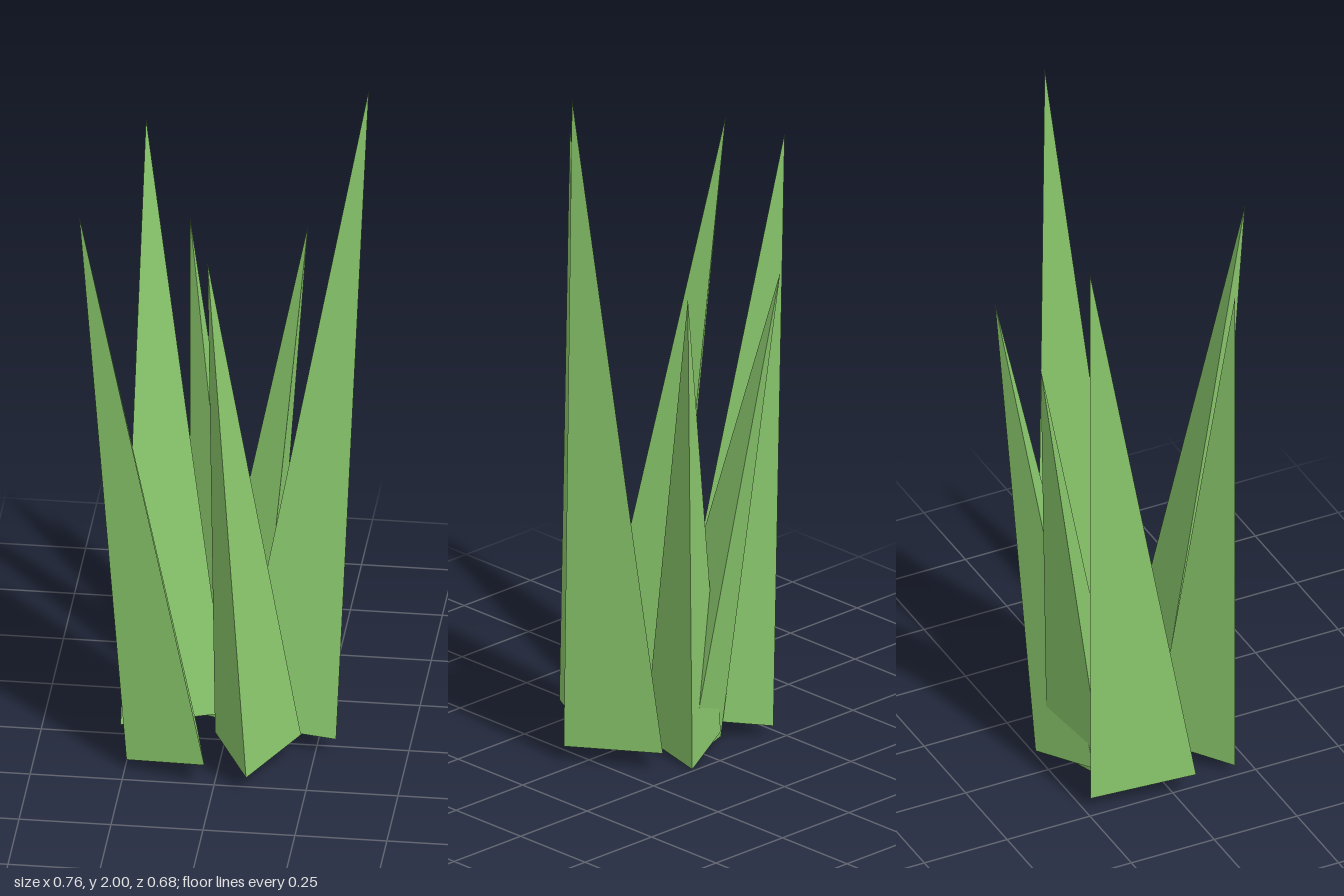
import * as THREE from 'three';

const UP = new THREE.Vector3(0, 1, 0);

// Three-sided spike: base centre, tip, base radius and turn (degrees) about its own axis
const BLADES = [
  { name: 'frontLeftBlade', base: [0.096, 0.062, 0.145], tip: [-0.007, 1.67, 0.34], radius: 0.136, turn: 117.5 },
  { name: 'leftBlade', base: [0.168, 0.059, -0.041], tip: [0.382, 2.0, -0.07], radius: 0.161, turn: 59.8 },
  { name: 'backLeftBlade', base: [0.027, 0.02, -0.146], tip: [0.187, 1.43, -0.318], radius: 0.119, turn: 24 },
  { name: 'backBlade', base: [0.006, 0.02, -0.122], tip: [-0.137, 1.42, -0.342], radius: 0.119, turn: 21.3 },
  { name: 'backRightBlade', base: [-0.164, 0.052, -0.071], tip: [-0.245, 1.77, -0.248], radius: 0.171, turn: 78.4 },
  { name: 'frontRightBlade', base: [-0.114, 0.05, 0.162], tip: [-0.382, 1.665, 0.122], radius: 0.136, turn: 41.8 },
];

function makeBlade({ name, base, tip, radius, turn }, material) {
  const foot = new THREE.Vector3(...base);
  const axis = new THREE.Vector3(...tip).sub(foot);
  const height = axis.length();
  const geometry = new THREE.ConeGeometry(radius, height, 3);
  geometry.translate(0, height / 2, 0); // pivot at the base
  geometry.rotateY(THREE.MathUtils.degToRad(turn));
  const blade = new THREE.Mesh(geometry, material);
  blade.name = name;
  blade.position.copy(foot);
  blade.quaternion.setFromUnitVectors(UP, axis.normalize());
  return blade;
}

export function createModel() {
  const group = new THREE.Group();
  group.name = 'grassTuft';
  const material = new THREE.MeshStandardMaterial({ color: 0x8ccb6e, flatShading: true });
  for (const blade of BLADES) group.add(makeBlade(blade, material));
  return group;
}
